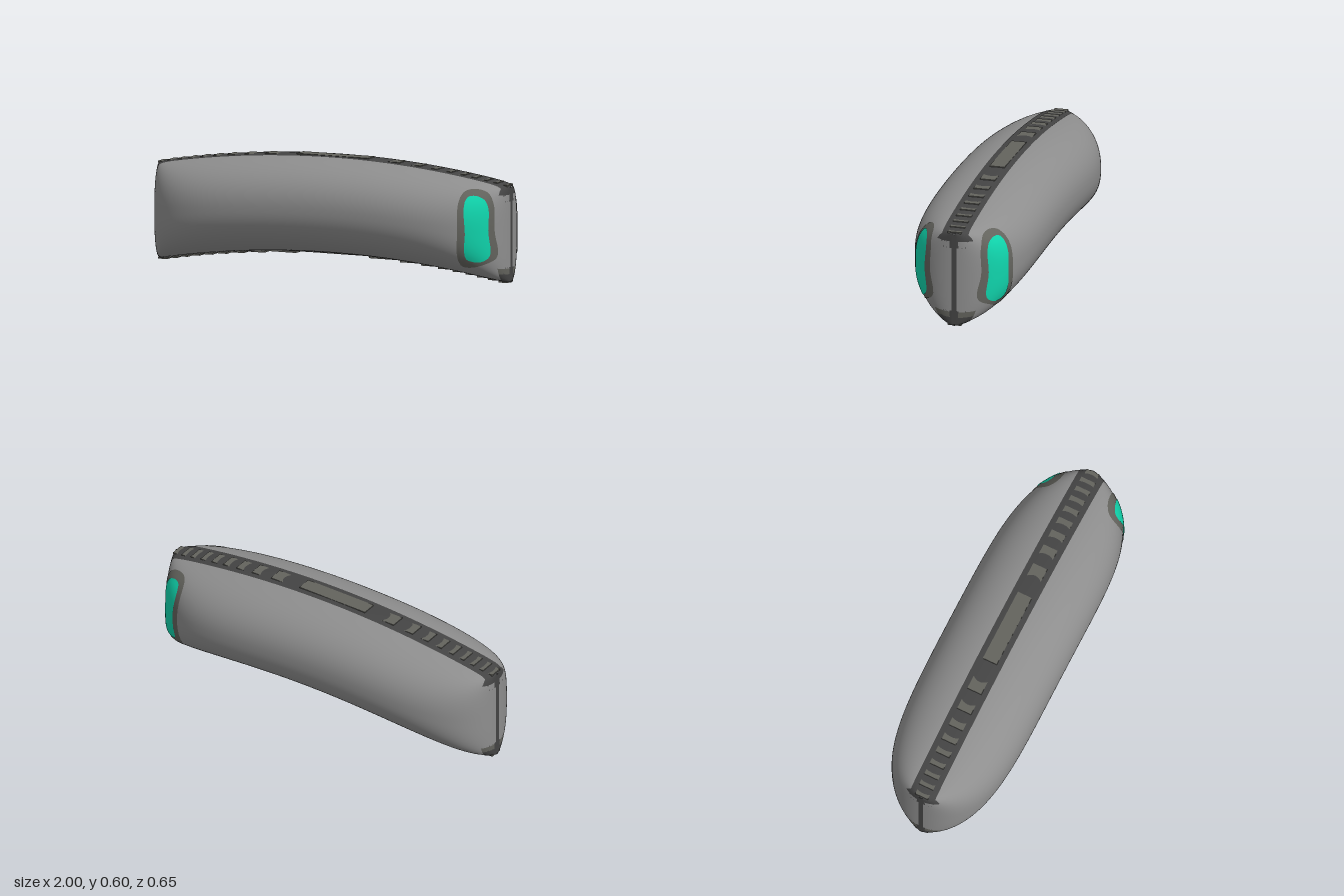
import * as THREE from 'three';

const HALF_W = 0.325, HALF_H = 0.25, END_W = 0.013;
const mat = (name, color, side = THREE.FrontSide) => {
  const m = new THREE.MeshStandardMaterial({ color, side });
  m.name = name;
  return m;
};

// Arched centre line, plan half width, and squareness of the cross-section along x
const midY = x => 0.345 - 0.095 * x * x;
const widthAt = x => Math.max(END_W, HALF_W * Math.pow(Math.max(0, 1 - Math.pow(Math.abs(x), 4.5)), 0.45));
const squareness = x => 2.2 + Math.pow(Math.abs(x), 6);
const superArc = (t, e) => Math.pow(Math.max(0, 1 - Math.pow(Math.min(1, Math.abs(t)), e)), 1 / e);
const sideZ = (x, y) => widthAt(x) * superArc((y - midY(x)) / HALF_H, squareness(x));
const crownY = (x, z) => HALF_H * superArc(z / widthAt(x), squareness(x));

// Indexed grid of (nu+1) x (nv+1) points; group(i, j) picks the material of each cell
function grid(nu, nv, point, group = () => 0, flip = false) {
  const pos = [], cells = [[], [], []];
  for (let i = 0; i <= nu; i++) for (let j = 0; j <= nv; j++) pos.push(...point(i / nu, j / nv));
  for (let i = 0; i < nu; i++) for (let j = 0; j < nv; j++) {
    const a = i * (nv + 1) + j, b = a + nv + 1;
    cells[group((i + 0.5) / nu, (j + 0.5) / nv)].push(
      ...(flip ? [a, a + 1, b, b, a + 1, b + 1] : [a, b, a + 1, b, b + 1, a + 1]));
  }
  const g = new THREE.BufferGeometry();
  g.setAttribute('position', new THREE.Float32BufferAttribute(pos, 3));
  g.setIndex(cells.flat());
  let start = 0;
  cells.forEach((c, k) => { if (c.length) g.addGroup(start, c.length, k); start += c.length; });
  g.computeVertexNormals();
  return g;
}

export function createModel() {
  const root = new THREE.Group();
  const shell = mat('shell grey', 0x8e8e8e);
  const trim = mat('warm grey trim', 0x63635d, THREE.DoubleSide);
  const dark = mat('dark grey', 0x444444, THREE.DoubleSide);
  const teal = mat('teal', 0x10d4ac, THREE.DoubleSide);
  const add = (name, geo, material, parent = root) => {
    const m = new THREE.Mesh(geo, material);
    m.name = name;
    parent.add(m);
    return m;
  };

  // Curved shell: two mirrored halves with dark corners at both ends
  const xAt = u => Math.sin((u - 0.5) * Math.PI);
  for (const s of [1, -1]) {
    const point = (u, v) => {
      const x = xAt(u), e = squareness(x), a = (v - 0.5) * Math.PI;
      const h = Math.sign(a) * Math.pow(Math.abs(Math.sin(a)), 2 / e);
      return [x, midY(x) + HALF_H * h, s * widthAt(x) * Math.pow(Math.max(0, Math.cos(a)), 2 / e)];
    };
    const corner = (u, v) => {
      const [x, y] = point(u, v);
      const h = (y - midY(x)) / HALF_H;
      if (Math.abs(x) < 0.972) return 0;
      if (h > 0.82 || h < -0.82) return 2;
      return h < -0.7 ? 1 : 0;
    };
    add(s > 0 ? 'frontShell' : 'backShell', grid(120, 72, point, corner, s < 0), [shell, trim, dark]);
  }

  // Narrow seam closing each end
  for (const s of [1, -1]) {
    const seam = add(s > 0 ? 'leftEndSeam' : 'rightEndSeam', new THREE.BoxGeometry(0.006, 0.49, 2 * END_W), dark);
    seam.position.set(s * 0.997, 0.25, 0);
  }

  // Dark bands along the crown and the keel
  for (const s of [1, -1]) {
    const band = (u, v) => {
      const x = xAt(u), z = (v * 2 - 1) * Math.min(0.07, 0.9 * widthAt(x));
      return [x, midY(x) + s * (crownY(x, z) + 0.002), z];
    };
    add(s > 0 ? 'crownBand' : 'keelBand', grid(80, 12, band, undefined, s > 0), dark);
  }

  // Stepped plates on both bands, shorter towards the ends
  const stepX = k => k < 1 ? 0 : Math.sqrt((k - 0.6) / 9.5);
  const plates = new THREE.Group();
  plates.name = 'steppedPlates';
  root.add(plates);
  const plate = (x0, x1, y) => {
    const w = Math.min(0.04, 0.6 * widthAt(Math.max(Math.abs(x0), Math.abs(x1))));
    add('plate', new THREE.BoxGeometry(x1 - x0 - 0.004, 0.009, 2 * w), trim, plates)
      .position.set((x0 + x1) / 2, y, 0);
  };
  for (const keel of [0, 0.5]) {
    const shift = keel ? 0.0955 - 0.003 : 0.5925;
    plate(-stepX(1), stepX(1), shift);
    for (let k = 1; k < 10; k++) {
      plate(stepX(k), stepX(k + 1), shift - 0.01 * k);
      plate(-stepX(k + 1), -stepX(k), shift - 0.01 * k);
    }
  }

  // Lights wrapped round the left end: a trim surround and a teal lens on each side
  const surround = [[0.815, 0.48], [0.86, 0.495], [0.93, 0.475], [0.96, 0.42], [0.967, 0.28],
    [0.972, 0.14], [0.93, 0.11], [0.85, 0.09], [0.81, 0.1], [0.813, 0.28]];
  const lens = [[0.84, 0.455], [0.87, 0.465], [0.92, 0.445], [0.942, 0.4], [0.945, 0.28],
    [0.948, 0.15], [0.91, 0.122], [0.87, 0.125], [0.845, 0.14], [0.848, 0.28]];
  const wrapped = (outline, lift, s) => {
    const curve = new THREE.CatmullRomCurve3(outline.map(([x, y]) => new THREE.Vector3(x, y, 0)), true);
    return grid(10, 56, (u, v) => {
      const p = curve.getPoint(v % 1);
      const x = 0.89 + (p.x - 0.89) * u, y = 0.29 + (p.y - 0.29) * u;
      return [x + lift * 0.7, y, s * (sideZ(x, y) + lift)];
    }, undefined, s < 0);
  };
  for (const s of [1, -1]) {
    const light = new THREE.Group();
    light.name = s > 0 ? 'frontLight' : 'backLight';
    root.add(light);
    add('surround', wrapped(surround, 0.003, s), trim, light);
    add('lens', wrapped(lens, 0.006, s), teal, light);
  }
  return root;
}
